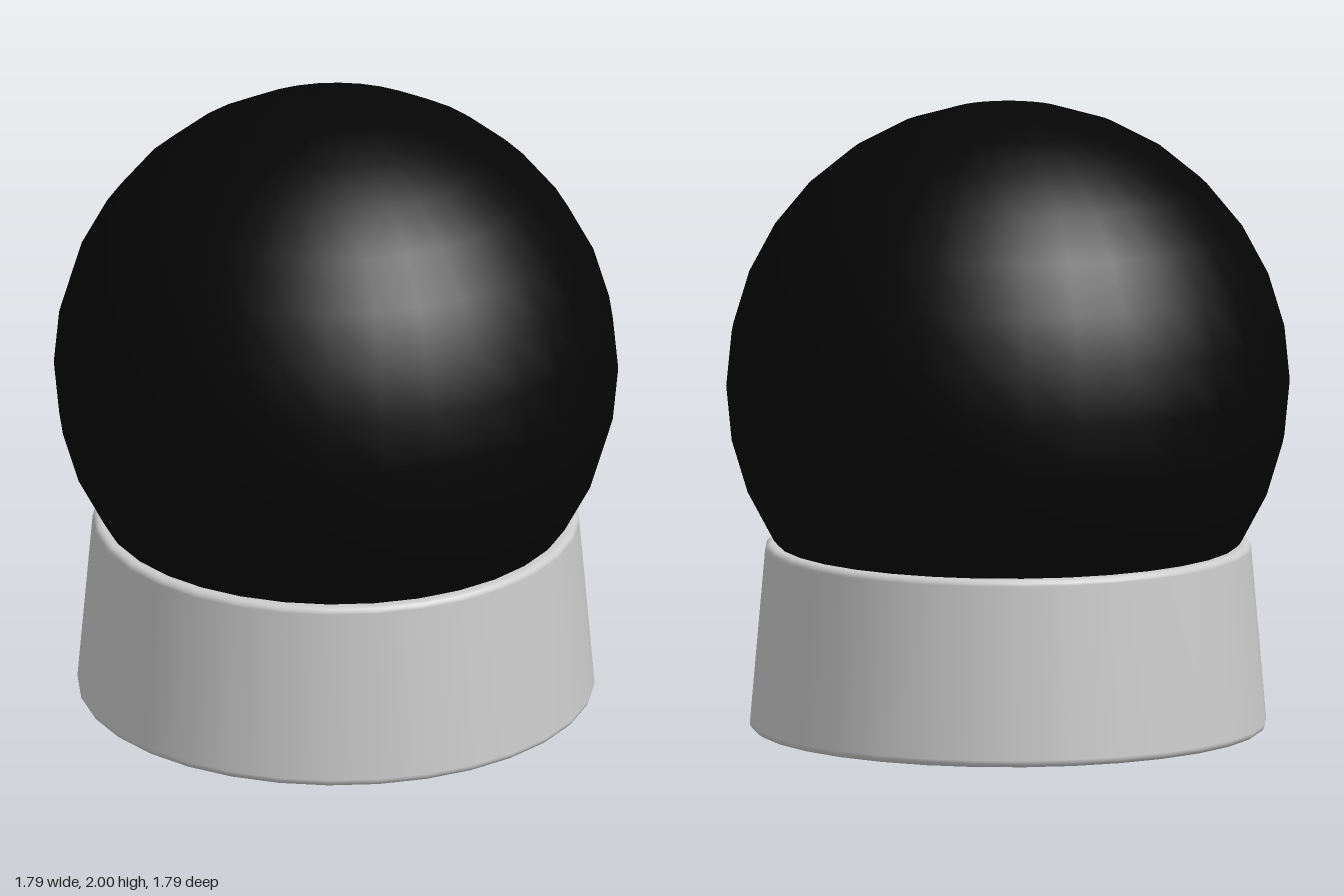
import * as THREE from 'three';

const SEGMENTS = 32;

// Quarter-round corner points between two angles, for the base profile
function corner(cx, cy, r, from, to, steps = 4) {
  return Array.from({ length: steps + 1 }, (_, i) => {
    const a = from + ((to - from) * i) / steps;
    return new THREE.Vector2(cx + r * Math.cos(a), cy + r * Math.sin(a));
  });
}

export function createModel() {
  const group = new THREE.Group();
  group.name = 'globeOnBase';

  // Dark globe, its lower part sunk into the base
  const globe = new THREE.Mesh(
    new THREE.SphereGeometry(0.895, SEGMENTS, 16),
    new THREE.MeshStandardMaterial({ color: 0x050505 })
  );
  globe.name = 'globe';
  globe.position.y = 1.105;
  group.add(globe);

  // Tapered round base with softened rims
  const r = 0.022;
  const tilt = 0.085;
  const profile = [
    new THREE.Vector2(0, 0),
    new THREE.Vector2(0.76, 0),
    ...corner(0.82 - r, r, r, -Math.PI / 2, tilt),
    ...corner(0.772 - r, 0.595 - r, r, tilt, Math.PI / 2),
    new THREE.Vector2(0.71, 0.595),
    new THREE.Vector2(0, 0.595),
  ];
  const base = new THREE.Mesh(
    new THREE.LatheGeometry(profile, SEGMENTS),
    new THREE.MeshStandardMaterial({ color: 0xcccccc })
  );
  base.name = 'base';
  group.add(base);

  return group;
}
